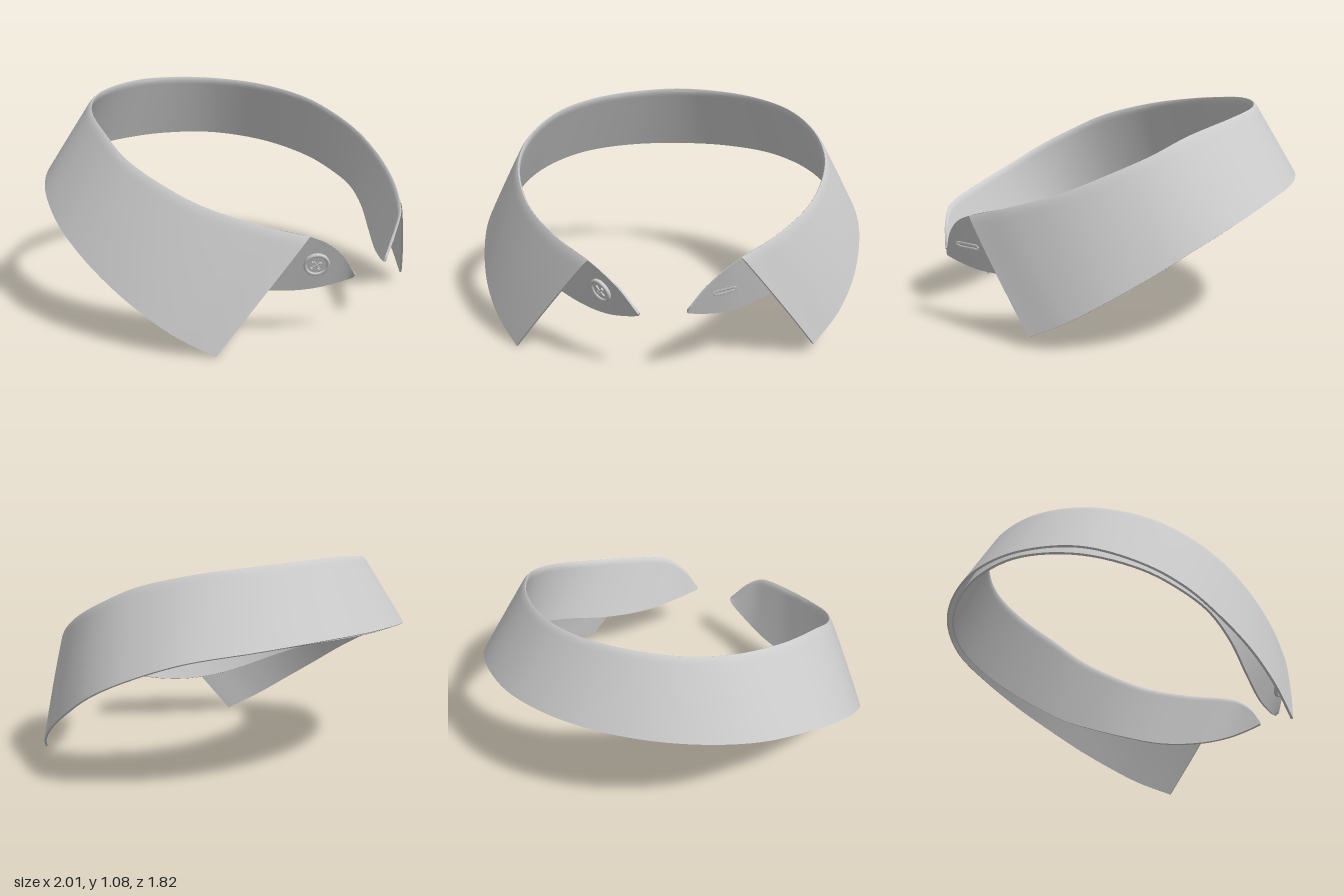
import * as THREE from 'three';
import { toCreasedNormals } from 'three/addons/utils/BufferGeometryUtils.js';

const V = (x, y, z) => new THREE.Vector3(x, y, z);
const material = new THREE.MeshStandardMaterial({ color: 0xcccccc, side: THREE.DoubleSide });

// Half rails, from the centre back round to the +x front
const FOLD = [[0, 1.075, -.715], [.235, 1.068, -.68], [.45, 1.05, -.575], [.635, 1.015, -.38], [.75, .95, -.13],
  [.79, .87, .06], [.765, .79, .25], [.68, .7, .45], [.52, .62, .66], [.35, .56, .82]];
const TAB_TOP = [[.285, .525, .87], [.2, .45, .9], [.115, .335, .91]];
const FALL_HEM = [[0, .728, -.907], [.32, .722, -.865], [.615, .695, -.73], [.845, .645, -.5], [.965, .55, -.25],
  [.995, .46, -.06], [.978, .36, .11], [.925, .25, .29], [.838, .145, .45], [.71, .05, .605]];
const STAND_HEM = [[0, .718, -.885], [.305, .714, -.845], [.58, .695, -.715], [.79, .645, -.48], [.89, .57, -.21],
  [.895, .5, -.01], [.845, .45, .15], [.74, .385, .31], [.57, .305, .49], [.4, .27, .65],
  [.27, .275, .775], [.17, .3, .86], [.112, .32, .905]];

// Full rail: mirrored half, sagging by (dx, dy, dz) toward its -x front, plus the +x half
function rail(half, [dx, dy, dz]) {
  const right = half.slice(1).reverse().map(([x, y, z]) => {
    const k = THREE.MathUtils.clamp((z + .9) / 1.5, 0, 1);
    return V(-x + dx * k * k, y + dy * k, z + dz * k);
  });
  return new THREE.CatmullRomCurve3([...right, ...half.map(p => V(...p))]);
}

// Ruled surface between two rails, bowed slightly outward toward the front ends
function ruled(top, hem, bow) {
  const flat = (u, v) => top.getPoint(u).lerp(hem.getPoint(u), v);
  const frameOf = (f, u, v) => {
    const e = .002;
    const du = f(Math.min(1, u + e), v).sub(f(Math.max(0, u - e), v)).normalize();
    const dv = f(u, Math.min(1, v + e)).sub(f(u, Math.max(0, v - e))).normalize();
    const n = du.clone().cross(dv).normalize();
    return { du, n, dv: n.clone().cross(du) };
  };
  const point = (u, v) => flat(u, v).addScaledVector(
    frameOf(flat, u, .5).n, bow * (2 * u - 1) ** 2 * 4 * v * (1 - v));
  return { point, frame: (u, v) => frameOf(point, u, v) };
}

// Solid cloth strip; its thickness tapers to a rounded edge along the fold
function cloth(surface, outer, inner, nu = 144, nv = 14) {
  const pos = [], index = [], ring = 2 * (nv + 1);
  for (let i = 0; i <= nu; i++) {
    const u = i / nu;
    for (let r = 0; r < ring; r++) {
      const isOuter = r <= nv;
      const v = ((isOuter ? r : ring - 1 - r) / nv) ** 1.8;
      const taper = Math.max(.15, Math.sqrt(Math.min(1, v / .06)));
      const p = surface.point(u, v)
        .addScaledVector(surface.frame(u, v).n, (isOuter ? outer : inner) * taper);
      pos.push(p.x, p.y, p.z);
    }
  }
  for (let i = 0; i < nu; i++) {
    for (let r = 0; r < ring; r++) {
      const a = i * ring + r, c = i * ring + (r + 1) % ring;
      index.push(a, a + ring, c, a + ring, c + ring, c);
    }
  }
  // End caps
  for (let j = 0; j < nv; j++) {
    const o = j, p = j + 1, q = ring - 1 - j, s = ring - 2 - j, k = nu * ring;
    index.push(o, p, q, p, s, q, k + o, k + q, k + p, k + p, k + q, k + s);
  }
  const g = new THREE.BufferGeometry();
  g.setAttribute('position', new THREE.Float32BufferAttribute(pos, 3));
  g.setIndex(index);
  return toCreasedNormals(g, .8);
}

function add(parent, name, geometry) {
  const mesh = new THREE.Mesh(geometry, material);
  mesh.name = name;
  parent.add(mesh);
  return mesh;
}

// Group lying on a surface: x along the collar, z outward
function patch(name, surface, u, v) {
  const g = new THREE.Group();
  const { du, dv, n } = surface.frame(u, v);
  g.name = name;
  g.setRotationFromMatrix(new THREE.Matrix4().makeBasis(du, dv, n));
  g.position.copy(surface.point(u, v));
  return g;
}

function buildButton(g) {
  const disc = new THREE.Shape().absarc(0, 0, .06, 0, Math.PI * 2);
  for (const sx of [-1, 1]) for (const sy of [-1, 1]) {
    disc.holes.push(new THREE.Path().absarc(sx * .017, sy * .017, .009, 0, Math.PI * 2, true));
  }
  add(g, 'buttonDisc', new THREE.ExtrudeGeometry(disc, { depth: .01, bevelEnabled: false, curveSegments: 24 }));
  add(g, 'buttonRim', new THREE.TorusGeometry(.054, .008, 10, 40)).position.z = .01;
  // Crossed thread
  for (const s of [-1, 1]) {
    const thread = add(g, 'buttonThread', new THREE.CapsuleGeometry(.004, .045, 4, 8));
    thread.position.z = .012;
    thread.rotation.z = s * Math.PI / 4;
  }
}

function buildButtonhole(g) {
  // Stitched oval round a narrow slit
  const oval = [];
  for (let i = 0; i < 32; i++) {
    const a = i / 32 * Math.PI * 2;
    oval.push(V(Math.cos(a) * .014 + .054 * Math.tanh(3 * Math.cos(a)), Math.sin(a) * .011, .001));
  }
  const curve = new THREE.CatmullRomCurve3(oval, true);
  add(g, 'buttonholeEdge', new THREE.TubeGeometry(curve, 64, .004, 6, true));
  for (let i = 0; i < 36; i++) {
    const p = curve.getPointAt(i / 36), t = curve.getTangentAt(i / 36);
    const stitch = add(g, 'buttonholeStitch', new THREE.CapsuleGeometry(.0025, .008, 2, 6));
    stitch.position.copy(p).setZ(.003);
    stitch.rotation.z = Math.atan2(t.y, t.x);
  }
}

export function createModel() {
  const model = new THREE.Group();
  model.name = 'shirtCollar';
  const topSag = [0, -.03, -.018];
  const fall = ruled(rail(FOLD, topSag), rail(FALL_HEM, [-.03, -.05, -.025]), .008);
  const stand = ruled(rail([...FOLD, ...TAB_TOP], topSag), rail(STAND_HEM, [0, -.032, -.035]), 0);
  add(model, 'collarFall', cloth(fall, .007, -.004));
  add(model, 'collarStand', cloth(stand, 0, -.012));

  const button = patch('button', stand, 2.12 / 24, .44);
  buildButton(button);
  const buttonhole = patch('buttonhole', stand, 22 / 24, .5);
  buttonhole.rotateZ(-.2);
  buildButtonhole(buttonhole);
  model.add(button, buttonhole);
  return model;
}
